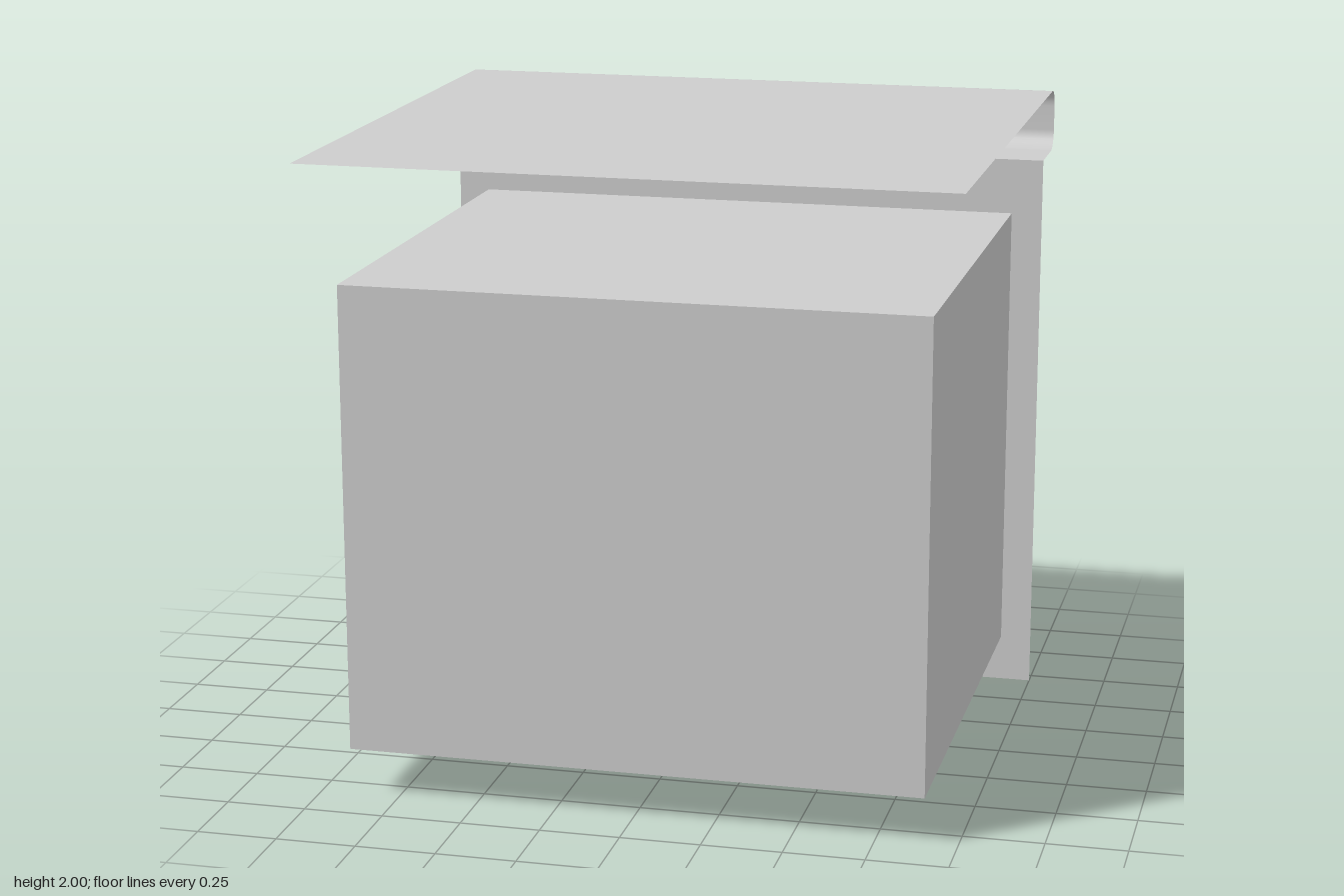
import * as THREE from 'three';

// Smooth sheet: a (z, y) profile swept across the width
function sheetGeometry(profile, halfWidth) {
  const positions = [];
  const index = [];
  profile.forEach(([z, y], i) => {
    positions.push(-halfWidth, y, z, halfWidth, y, z);
    if (i > 0) {
      const a = 2 * i - 2;
      index.push(a, a + 1, a + 2, a + 1, a + 3, a + 2);
    }
  });
  const geometry = new THREE.BufferGeometry();
  geometry.setAttribute('position', new THREE.Float32BufferAttribute(positions, 3));
  geometry.setIndex(index);
  geometry.computeVertexNormals();
  return geometry;
}

// Quarter bend points around (cz, cy), starting at the given angle
function bend(cz, cy, radius, start) {
  const points = [];
  for (let i = 0; i <= 6; i++) {
    const a = start + (i / 6) * Math.PI / 2;
    points.push([cz + radius * Math.cos(a), cy + radius * Math.sin(a)]);
  }
  return points;
}

export function createModel() {
  const group = new THREE.Group();
  const grey = new THREE.MeshStandardMaterial({ color: 0xcccccc });
  grey.name = 'light grey';
  const greySheet = new THREE.MeshStandardMaterial({ color: 0xcccccc, side: THREE.DoubleSide });
  greySheet.name = 'light grey sheet';

  const add = (name, geometry, material, x = 0, y = 0, z = 0) => {
    const mesh = new THREE.Mesh(geometry, material);
    mesh.name = name;
    mesh.position.set(x, y, z);
    group.add(mesh);
  };

  // Cabinet body
  add('body', new THREE.BoxGeometry(1.8, 1.47, 1.55), grey, 0, 0.885, 0.075);

  // Thin worktop with a rounded lip folding under at the back
  const r = 0.06;
  const profile = [
    [0.95, 2],
    ...bend(-0.95 + r, 2 - r, r, Math.PI / 2),
    ...bend(-0.95 + r, 1.8 + r, r, Math.PI),
    [-0.7, 1.8],
  ];
  add('worktop', sheetGeometry(profile, 1), greySheet);

  // Thin face panel behind the door
  add('facePanel', sheetGeometry([[-0.7, 1.8], [-0.7, 0]], 1), greySheet);

  // Door
  add('door', new THREE.BoxGeometry(1.94, 1.67, 0.05), grey, 0, 0.885, -0.725);

  // Bowed handle
  const path = new THREE.CatmullRomCurve3([
    [1.13, -0.745], [1.125, -0.775], [1.085, -0.808], [0.985, -0.828],
    [0.885, -0.808], [0.845, -0.775], [0.84, -0.745],
  ].map(([y, z]) => new THREE.Vector3(0, y, z)));
  add('handle', new THREE.TubeGeometry(path, 16, 0.022, 12), grey, 0.76, 0, 0);

  return group;
}
